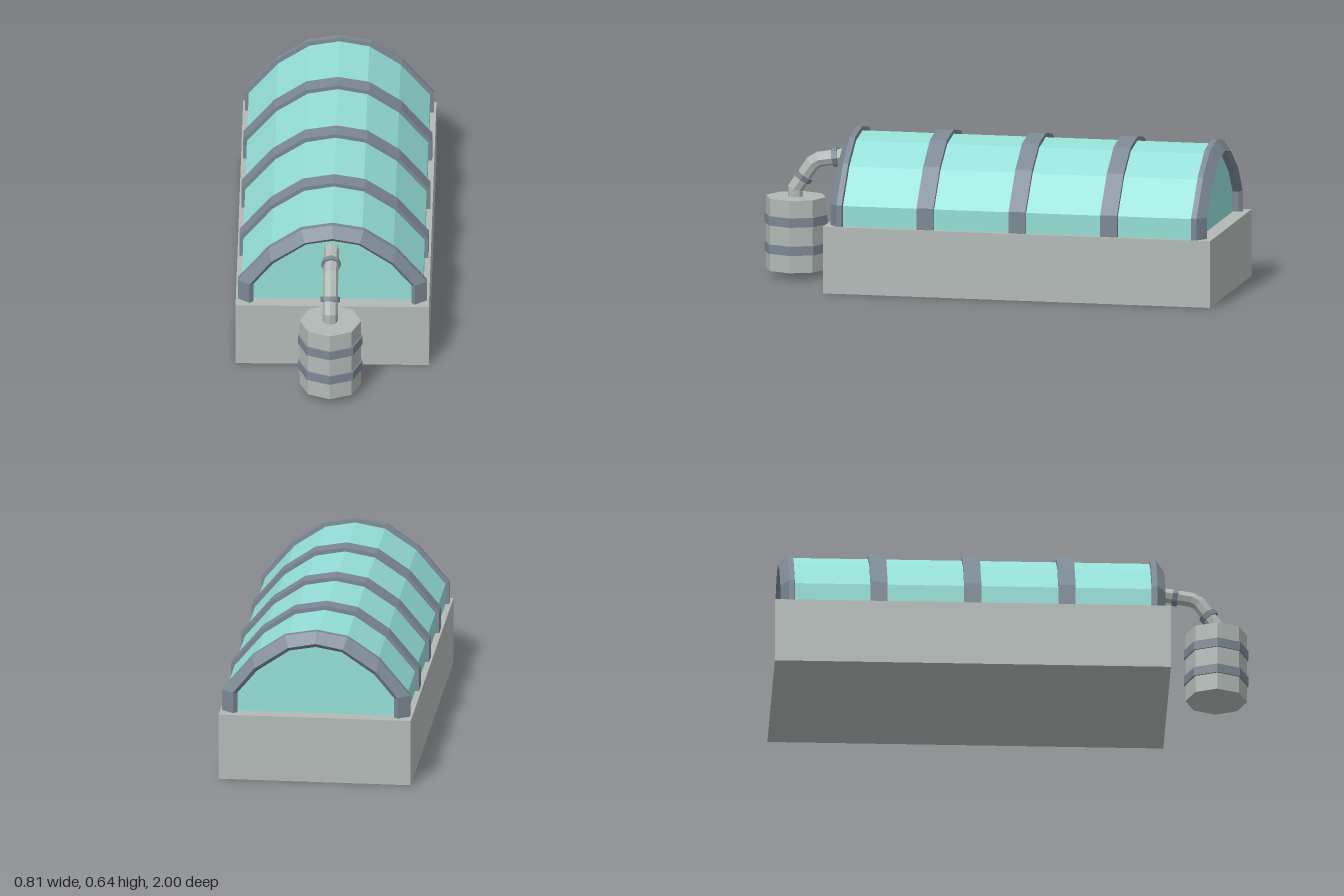
import * as THREE from 'three';

const mat = (color) => new THREE.MeshStandardMaterial({ color, flatShading: true });
const FLOOR = 0.275; // arches start just inside the base top (0.283)

// Arch half-profiles, from the right foot to the crown
const GLASS = [[0.38, FLOOR], [0.38, 0.37], [0.256, 0.517], [0.125, 0.605], [0, 0.628]];
const OUTER = [[0.396, FLOOR], [0.396, 0.375], [0.266, 0.531], [0.132, 0.622], [0, 0.645]];
const LIP = [[0.346, FLOOR], [0.346, 0.373], [0.257, 0.483], [0.115, 0.578], [0, 0.6]];
const INNER = [[0.331, FLOOR], [0.331, 0.368], [0.246, 0.47], [0.11, 0.563], [0, 0.582]];

// Mirror a half-profile into a full arch, +x foot to -x foot
const arch = (half) => [...half, ...half.slice(0, -1).reverse().map(([x, y]) => [-x, y])];

function archSolid(half, z0, z1) {
  const shape = new THREE.Shape(arch(half).map(([x, y]) => new THREE.Vector2(x, y)));
  return new THREE.ExtrudeGeometry(shape, { depth: z1 - z0, bevelEnabled: false }).translate(0, 0, z0);
}

// Skin a list of equal-length cross-sections (arrays of Vector3)
function loft(rows) {
  const n = rows[0].length, index = [];
  for (let i = 0; i < rows.length - 1; i++) {
    for (let j = 0; j < n - 1; j++) {
      const a = i * n + j, c = a + n;
      index.push(a, a + 1, c, a + 1, c + 1, c);
    }
  }
  const g = new THREE.BufferGeometry().setFromPoints(rows.flat());
  g.setIndex(index);
  g.computeVertexNormals();
  return g;
}

// Eight-sided pipe with mitred bends, for a path in a plane of constant x
function pipe(path, radius) {
  const X = new THREE.Vector3(1, 0, 0);
  return loft(path.map((p, i) => {
    const before = p.clone().sub(path[Math.max(i - 1, 0)]).normalize();
    const after = path[Math.min(i + 1, path.length - 1)].clone().sub(p).normalize();
    const dir = before.clone().add(after).normalize();
    const stretch = 1 / Math.max(before.dot(dir), after.dot(dir));
    const v = dir.clone().cross(X);
    return Array.from({ length: 9 }, (_, k) => {
      const t = k * Math.PI / 4;
      return p.clone().addScaledVector(X, radius * Math.cos(t))
        .addScaledVector(v, radius * stretch * Math.sin(t));
    });
  }));
}

export function createModel() {
  const model = new THREE.Group();
  const stone = mat(0xb2bab6), steel = mat(0x7c8894), glass = mat(0x94ded7);
  const add = (name, geometry, material, parent = model) => {
    const mesh = new THREE.Mesh(geometry, material);
    mesh.name = name;
    parent.add(mesh);
    return mesh;
  };

  // Base block and vaulted cover
  add('base', new THREE.BoxGeometry(0.81, 0.283, 1.66).translate(0, 0.1415, -0.17), stone);
  add('glassVault', archSolid(GLASS, -0.935, 0.6), glass);

  // Ribs across the vault
  for (const z of [0.225, -0.17, -0.563]) add('rib', archSolid(OUTER, z - 0.036, z + 0.036), steel);

  // Chamfered end frames, the back one turned round
  const centreZ = -0.1675;
  const section = (half, z) => arch(half).map(([x, y]) => new THREE.Vector3(x, y, z - centreZ));
  const frame = loft([section(GLASS, 0.58), section(OUTER, 0.582), section(OUTER, 0.605),
    section(LIP, 0.64), section(INNER, 0.625), section(INNER, 0.59)]);
  for (const [name, turn] of [['frontFrame', 0], ['backFrame', Math.PI]]) {
    const mesh = add(name, frame, steel);
    mesh.position.z = centreZ;
    mesh.rotation.y = turn;
  }

  // Barrel with two hoops
  const barrel = new THREE.Group();
  barrel.name = 'barrel';
  barrel.position.set(-0.004, 0, 0.866);
  model.add(barrel);
  add('barrelBody', new THREE.CylinderGeometry(0.129, 0.129, 0.307, 8).translate(0, 0.1835, 0), stone, barrel);
  for (const y of [0.124, 0.244]) {
    add('hoop', new THREE.CylinderGeometry(0.136, 0.136, 0.039, 8).translate(0, y, 0), steel, barrel);
  }

  // Bent pipe from the barrel lid to the end wall
  const path = [[0.32, 0.868], [0.372, 0.868], [0.48, 0.795], [0.498, 0.765], [0.527, 0.59]]
    .map(([y, z]) => new THREE.Vector3(-0.004, y, z));
  add('pipe', pipe(path, 0.032), stone);

  // Collars around the pipe, lined up with their segments
  for (const [seg, t] of [[1, 0.46], [3, 0.4]]) {
    const collar = add('collar', new THREE.CylinderGeometry(0.041, 0.041, 0.022, 8), steel);
    collar.position.lerpVectors(path[seg], path[seg + 1], t);
    collar.quaternion.setFromUnitVectors(new THREE.Vector3(0, 1, 0),
      path[seg + 1].clone().sub(path[seg]).normalize());
  }
  return model;
}
